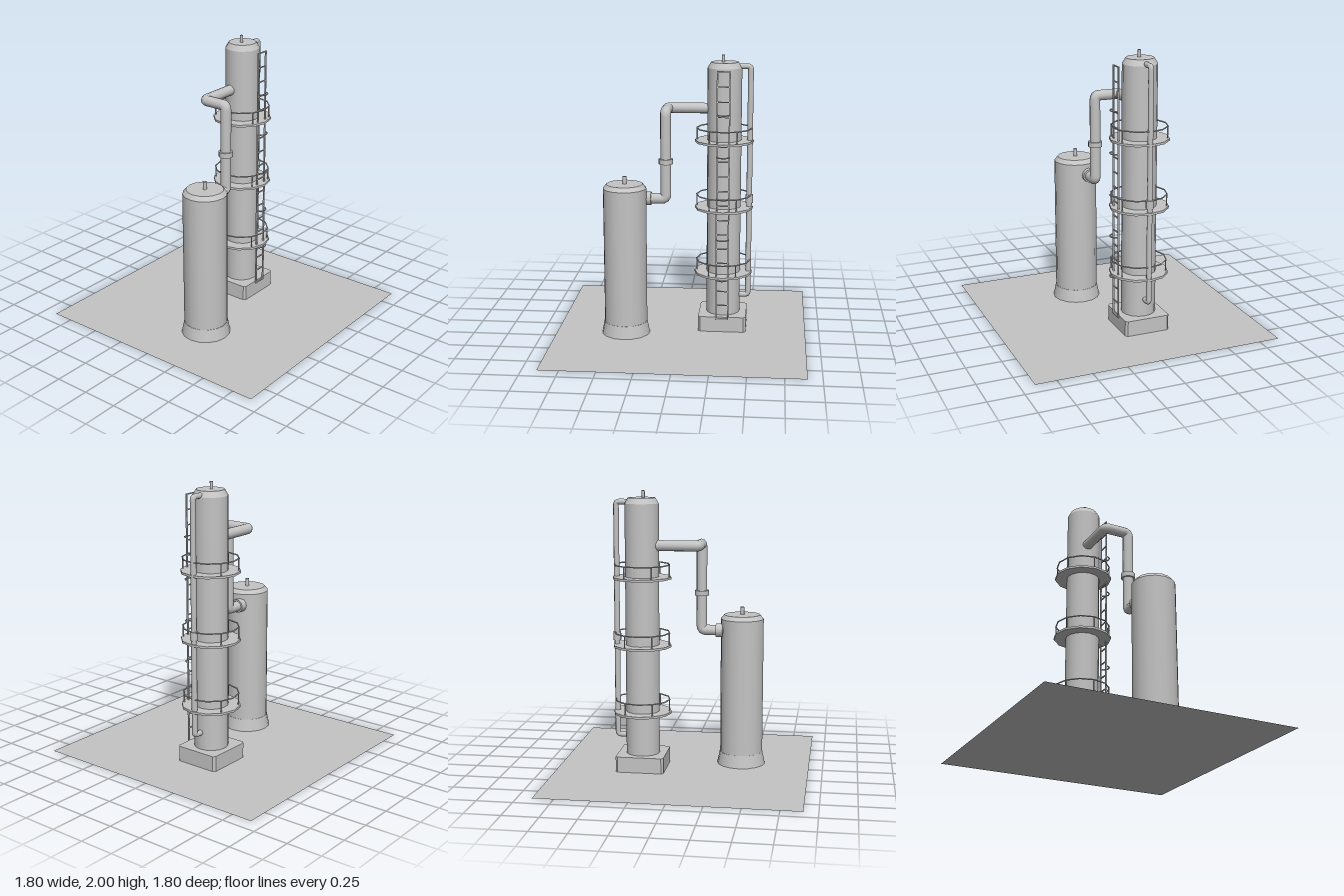
import * as THREE from 'three';

const grey = new THREE.MeshStandardMaterial({ color: 0xc4c4c4 });
grey.name = 'plain grey';
const groundGrey = new THREE.MeshStandardMaterial({ color: 0xc4c4c4, side: THREE.DoubleSide });
groundGrey.name = 'ground grey';

const V = (x, y, z) => new THREE.Vector3(x, y, z);

function add(parent, name, geometry, x = 0, y = 0, z = 0, material = grey) {
  const mesh = new THREE.Mesh(geometry, material);
  mesh.name = name;
  mesh.position.set(x, y, z);
  parent.add(mesh);
  return mesh;
}

// Upright round section between two heights
function column(parent, name, rBottom, rTop, y0, y1, sides = 16, x = 0, z = 0) {
  return add(parent, name, new THREE.CylinderGeometry(rTop, rBottom, y1 - y0, sides), x, (y0 + y1) / 2, z);
}

function rod(parent, name, a, b, radius, sides) {
  const geometry = new THREE.TubeGeometry(new THREE.LineCurve3(a, b), 1, radius, sides);
  return add(parent, name, geometry);
}

// Pipe along straight legs joined by tight elbows
function pipe(parent, name, points, radius, bend, sides = 12) {
  const group = new THREE.Group();
  group.name = name;
  parent.add(group);
  let start = points[0];
  for (let i = 1; i < points.length; i++) {
    const corner = points[i];
    if (i === points.length - 1) {
      rod(group, name + 'Leg', start, corner, radius, sides);
      break;
    }
    const toward = (p) => corner.clone().add(p.clone().sub(corner).setLength(bend));
    const a = toward(points[i - 1]), b = toward(points[i + 1]);
    rod(group, name + 'Leg', start, a, radius, sides);
    const curve = new THREE.QuadraticBezierCurve3(a, corner, b);
    add(group, name + 'Elbow', new THREE.TubeGeometry(curve, 4, radius, sides));
    start = b;
  }
  return group;
}

function makeTank() {
  const tank = new THREE.Group();
  tank.name = 'shortTank';
  column(tank, 'tankSkirt', 0.175, 0.157, 0, 0.09);
  column(tank, 'tankBody', 0.155, 0.155, 0.09, 1.075);
  column(tank, 'tankShoulder', 0.155, 0.13, 1.075, 1.105);
  column(tank, 'tankVent', 0.014, 0.014, 1.1, 1.16, 10);
  tank.position.set(-0.4, 0, 0.122);
  return tank;
}

function makePlatform(y) {
  const platform = new THREE.Group();
  platform.name = 'platform';
  column(platform, 'platformDeck', 0.21, 0.21, -0.016, 0, 12);
  const rail = add(platform, 'platformRail', new THREE.TorusGeometry(0.197, 0.005, 6, 12), 0, 0.085, 0);
  rail.rotation.x = Math.PI / 2;
  for (let i = 0; i < 6; i++) {
    const a = (i * Math.PI) / 3;
    column(platform, 'railPost', 0.005, 0.005, 0, 0.085, 6, 0.194 * Math.cos(a), 0.194 * Math.sin(a));
  }
  platform.position.y = y;
  return platform;
}

function makeLadder() {
  const ladder = new THREE.Group();
  ladder.name = 'ladder';
  for (const side of [-1, 1]) {
    add(ladder, 'ladderStile', new THREE.BoxGeometry(0.01, 1.81, 0.01), side * 0.043, 1.0, 0);
  }
  for (let i = 0; i < 18; i++) {
    add(ladder, 'ladderRung', new THREE.BoxGeometry(0.086, 0.008, 0.008), 0, 0.099 + i * 0.106, 0);
  }
  // Half hoops guarding the climb
  for (const y of [0.4, 0.7, 1.0, 1.3, 1.6]) {
    const hoop = add(ladder, 'ladderHoop', new THREE.TorusGeometry(0.043, 0.005, 6, 6, Math.PI), 0, y, 0);
    hoop.rotation.x = Math.PI / 2;
  }
  ladder.position.set(0, 0, 0.173);
  return ladder;
}

function makeTower() {
  const tower = new THREE.Group();
  tower.name = 'tallTower';
  // Plinth with trimmed corners
  const w = 0.173, d = 0.167, c = 0.016;
  const outline = new THREE.Shape([
    [-w + c, -d], [w - c, -d], [w, -d + c], [w, d - c],
    [w - c, d], [-w + c, d], [-w, d - c], [-w, -d + c],
  ].map(([x, y]) => new THREE.Vector2(x, y)));
  const plinth = add(tower, 'towerPlinth', new THREE.ExtrudeGeometry(outline, { depth: 0.112, bevelEnabled: false }));
  plinth.rotation.x = -Math.PI / 2;

  column(tower, 'towerBody', 0.122, 0.122, 0.1, 1.91);
  column(tower, 'towerShoulder', 0.122, 0.098, 1.91, 1.95);
  column(tower, 'towerVent', 0.011, 0.011, 1.945, 2.0, 10, -0.012, 0);
  for (const y of [0.422, 0.908, 1.395]) tower.add(makePlatform(y));
  tower.add(makeLadder());

  // Downpipe on the left side
  pipe(tower, 'downpipe', [V(0.07, 1.92, 0), V(0.183, 1.92, 0), V(0.183, 0.238, 0), V(0.08, 0.238, 0)], 0.02, 0.022, 8);
  column(tower, 'downpipeCollar', 0.028, 0.028, 0.935, 0.995, 10, 0.183, 0);
  tower.position.set(0.294, 0, -0.089);
  return tower;
}

export function createModel() {
  const model = new THREE.Group();
  model.name = 'processPlant';

  const ground = add(model, 'ground', new THREE.PlaneGeometry(1.8, 1.8), 0, 0, 0, groundGrey);
  ground.rotation.x = -Math.PI / 2;

  model.add(makeTank(), makeTower());

  // Transfer pipe from tank to tower
  pipe(model, 'transferPipe', [
    V(-0.3, 0.993, 0.077), V(-0.111, 0.993, 0.077), V(-0.111, 1.617, 0.077),
    V(-0.111, 1.617, -0.108), V(0.25, 1.617, -0.108),
  ], 0.038, 0.03);
  column(model, 'pipeCollar', 0.051, 0.051, 1.245, 1.282, 12, -0.111, 0.077);
  const flange = column(model, 'tankFlange', 0.05, 0.05, 0, 0.05, 12);
  flange.rotation.z = Math.PI / 2;
  flange.position.set(-0.24, 0.993, 0.077);
  return model;
}
